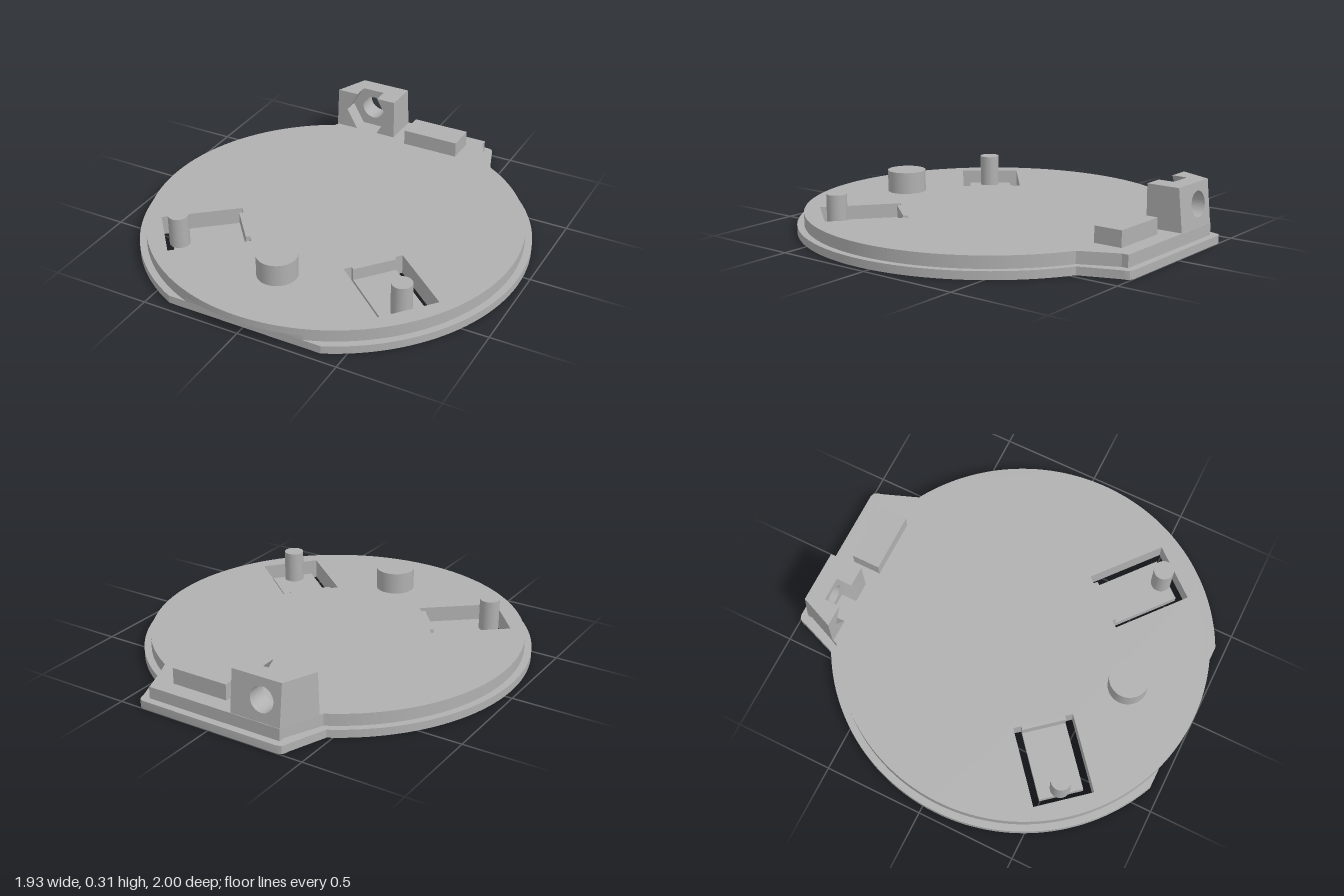
import * as THREE from 'three';
import { toCreasedNormals } from 'three/addons/utils/BufferGeometryUtils.js';

const CZ = 0.07; // centre of the round plate along z

export function createModel() {
  const model = new THREE.Group();
  const grey = new THREE.MeshStandardMaterial({ color: 0xb0b0b0 });
  grey.name = 'plain grey';

  const add = (name, geometry, x = 0, y = 0, z = 0) => {
    const mesh = new THREE.Mesh(geometry, grey);
    mesh.name = name;
    mesh.position.set(x, y, z);
    model.add(mesh);
  };

  // Round outline with a tab at the back and, if cut, a flat front edge (drawn in x, z)
  const outline = (r, jx, jz, tab, cut) => {
    const s = new THREE.Shape();
    const a = Math.atan2(jz - CZ, jx);
    const c = cut ? Math.asin((0.95 - CZ) / r) : Math.PI / 2;
    s.absarc(0, CZ, r, a, c, false);
    s.absarc(0, CZ, r, Math.PI - c, Math.PI - a, false);
    tab.forEach(([x, z]) => s.lineTo(-x, z));
    [...tab].reverse().forEach(([x, z]) => s.lineTo(x, z));
    s.closePath();
    return s;
  };

  // Points of a cutout, given along and across the tilted clip, mirrored by side
  const cutout = (side, pts) => {
    const ux = 0.766, uz = 0.643;
    return new THREE.Path(pts.map(([l, w]) => new THREE.Vector2(
      side * (0.75 - l * ux - w * uz), 0.49 - l * uz + w * ux)));
  };
  const slot = [[0, 0], [0.4, 0], [0.4, 0.04], [0.04, 0.04],
    [0.04, 0.26], [0.4, 0.26], [0.4, 0.3], [0, 0.3]];
  const recess = [[0, 0], [0.4, 0], [0.4, 0.04], [0.38, 0.04],
    [0.38, 0.26], [0.4, 0.26], [0.4, 0.3], [0, 0.3]];

  const layer = (name, shape, hole, y0, y1) => {
    for (const side of [1, -1]) shape.holes.push(cutout(side, hole));
    const g = new THREE.ExtrudeGeometry(shape, {
      depth: y1 - y0, bevelEnabled: false, curveSegments: 80 });
    g.rotateX(Math.PI / 2).translate(0, y1, 0);
    add(name, toCreasedNormals(g, 0.4));
  };

  // Stepped plate: flange with spring clips, then the narrower raised disc
  const outerTab = [[0.405, -0.955], [0.4, -0.977], [0.39, -0.993], [0.37, -1]];
  const innerTab = [[0.36, -0.93], [0.36, -0.963]];
  layer('flange', outline(0.965, 0.475, -0.77, outerTab, true), slot, 0, 0.04);
  layer('middleDisc', outline(0.93, 0.445, -0.747, innerTab, true), recess, 0.04, 0.065);
  layer('topDisc', outline(0.93, 0.445, -0.747, innerTab, false), recess, 0.065, 0.1);

  // Pegs on the clips and the central post
  for (const side of [1, -1]) {
    add(side > 0 ? 'leftPeg' : 'rightPeg',
      new THREE.CylinderGeometry(0.05, 0.05, 0.16, 40), side * 0.597, 0.12, 0.56);
  }
  add('post', new THREE.CylinderGeometry(0.098, 0.098, 0.11, 56), 0, 0.155, 0.64);

  // Low rectangular block at the back
  add('lowBlock', new THREE.BoxGeometry(0.3, 0.08, 0.145), 0.135, 0.14, -0.807);

  // Nut holder: slanted side and leaning back
  const poly = pts => new THREE.Shape(pts.map(p => new THREE.Vector2(...p)));
  const holderPart = (name, shape, zBack, zFront, leaning) => {
    const g = new THREE.ExtrudeGeometry(shape, {
      depth: zFront - zBack, bevelEnabled: false, curveSegments: 32 });
    g.translate(0, 0, zBack);
    const p = g.attributes.position;
    for (let i = 0; i < p.count; i++) {
      let x = p.getX(i), z = p.getZ(i);
      if (leaning && z < zBack + 0.001) z += (p.getY(i) - 0.1) * 0.1;
      if (x < -0.42) x += (-0.77 - z) * 0.42;
      p.setXYZ(i, x, p.getY(i), z);
    }
    g.computeVertexNormals();
    add(name, toCreasedNormals(g, 0.4));
  };
  holderPart('nutHolderRight', poly([[-0.44, 0.1], [-0.32, 0.1], [-0.38, 0.205],
    [-0.32, 0.31], [-0.432, 0.31]]), -0.85, -0.77, false);
  holderPart('nutHolderLeft', poly([[-0.2, 0.1], [-0.097, 0.1], [-0.097, 0.31],
    [-0.2, 0.31], [-0.14, 0.205]]), -0.85, -0.77, false);
  const wall = poly([[-0.44, 0.1], [-0.097, 0.1], [-0.097, 0.31], [-0.432, 0.31]]);
  wall.holes.push(new THREE.Path().absarc(-0.26, 0.207, 0.062, 0, Math.PI * 2, true));
  holderPart('nutHolderWall', wall, -0.96, -0.85, true);

  return model;
}
